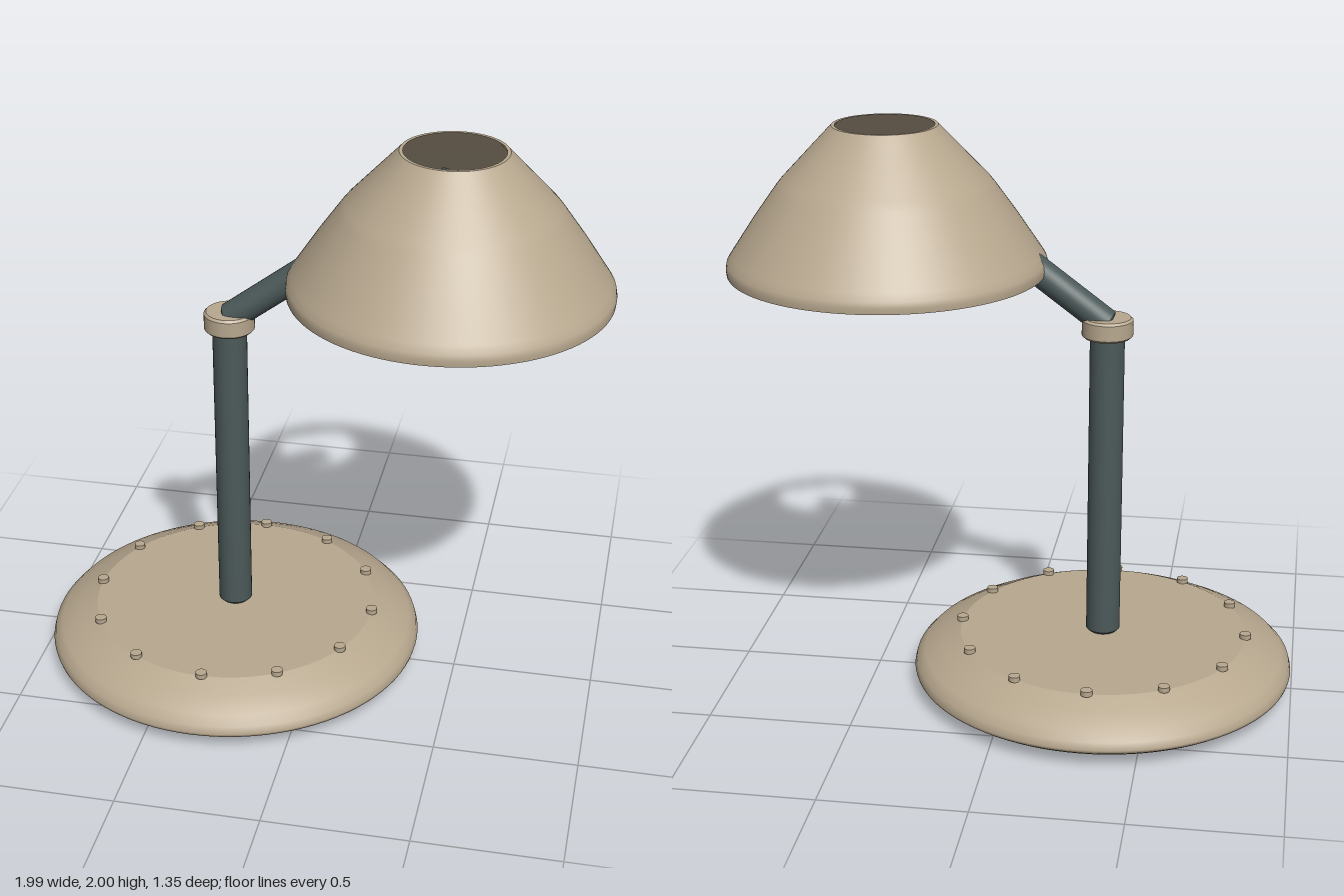
import * as THREE from 'three';
import { mergeGeometries } from 'three/addons/utils/BufferGeometryUtils.js';

const beige = new THREE.MeshStandardMaterial({ color: 0xb8a88f });
beige.name = 'warm beige';
const slate = new THREE.MeshStandardMaterial({ color: 0x4c5959 });
slate.name = 'dark slate';

const BASE_X = -0.32;
const SHADE_X = 0.44;

// Lathe made of several profiles: smooth within each, sharp between them
function turned(profiles, segments = 64) {
  return mergeGeometries(profiles.map((p) =>
    new THREE.LatheGeometry(p.map(([r, y]) => new THREE.Vector2(r, y)), segments)));
}

// Rod along y with small bevels at both ends
function rod(radius, length, bevel, segments = 32) {
  const r = radius - bevel;
  return turned([
    [[0, 0], [r, 0]],
    [[r, 0], [radius, bevel]],
    [[radius, bevel], [radius, length - bevel]],
    [[radius, length - bevel], [r, length]],
    [[r, length], [0, length]],
  ], segments);
}

function add(parent, name, geometry, material, x = 0, y = 0, z = 0) {
  const mesh = new THREE.Mesh(geometry, material);
  mesh.name = name;
  mesh.position.set(x, y, z);
  parent.add(mesh);
  return mesh;
}

export function createModel() {
  const lamp = new THREE.Group();
  lamp.name = 'deskLamp';

  // Round base with a softly rolled rim
  add(lamp, 'base', turned([
    [[0, 0], [0.575, 0]],
    [[0.575, 0], [0.655, 0.045]],
    [[0.655, 0.045], [0.672, 0.057], [0.675, 0.068], [0.668, 0.095], [0.64, 0.125], [0.575, 0.16], [0.51, 0.19]],
    [[0.51, 0.19], [0, 0.19]],
  ], 96), beige, BASE_X);

  // Ring of studs on the base
  const studs = new THREE.Group();
  studs.name = 'baseStuds';
  studs.position.set(BASE_X, 0.197, 0);
  lamp.add(studs);
  const studGeometry = new THREE.CylinderGeometry(0.02, 0.02, 0.018, 16);
  for (let i = 0; i < 12; i++) {
    const a = (i * Math.PI) / 6;
    add(studs, 'stud', studGeometry, beige, 0.51 * Math.cos(a), 0, 0.51 * Math.sin(a));
  }

  // Upright post and its collar
  add(lamp, 'post', rod(0.06, 1.13, 0.01), slate, BASE_X, 0.19);
  add(lamp, 'collar', rod(0.088, 0.07, 0.008, 40), beige, BASE_X, 1.29);

  // Slanted arm reaching into the shade
  const start = new THREE.Vector3(BASE_X, 1.335, 0);
  const reach = new THREE.Vector3(0.435, 1.9, 0).sub(start);
  const arm = add(lamp, 'arm', rod(0.05, reach.length(), 0.006), slate, ...start.toArray());
  arm.quaternion.setFromUnitVectors(new THREE.Vector3(0, 1, 0), reach.clone().normalize());

  // Thin-walled shade, open at top and bottom
  add(lamp, 'shade', turned([
    [[0.535, 1.5], [0.548, 1.5]],
    [[0.548, 1.5], [0.55, 1.52], [0.546, 1.54], [0.53, 1.565], [0.45, 1.685], [0.375, 1.79], [0.355, 1.815], [0.27, 1.905], [0.18, 2]],
    [[0.18, 2], [0.168, 2]],
    [[0.168, 2], [0.255, 1.9], [0.342, 1.805], [0.362, 1.78], [0.44, 1.675], [0.518, 1.555], [0.532, 1.535], [0.535, 1.5]],
  ], 96), beige, SHADE_X);

  return lamp;
}
